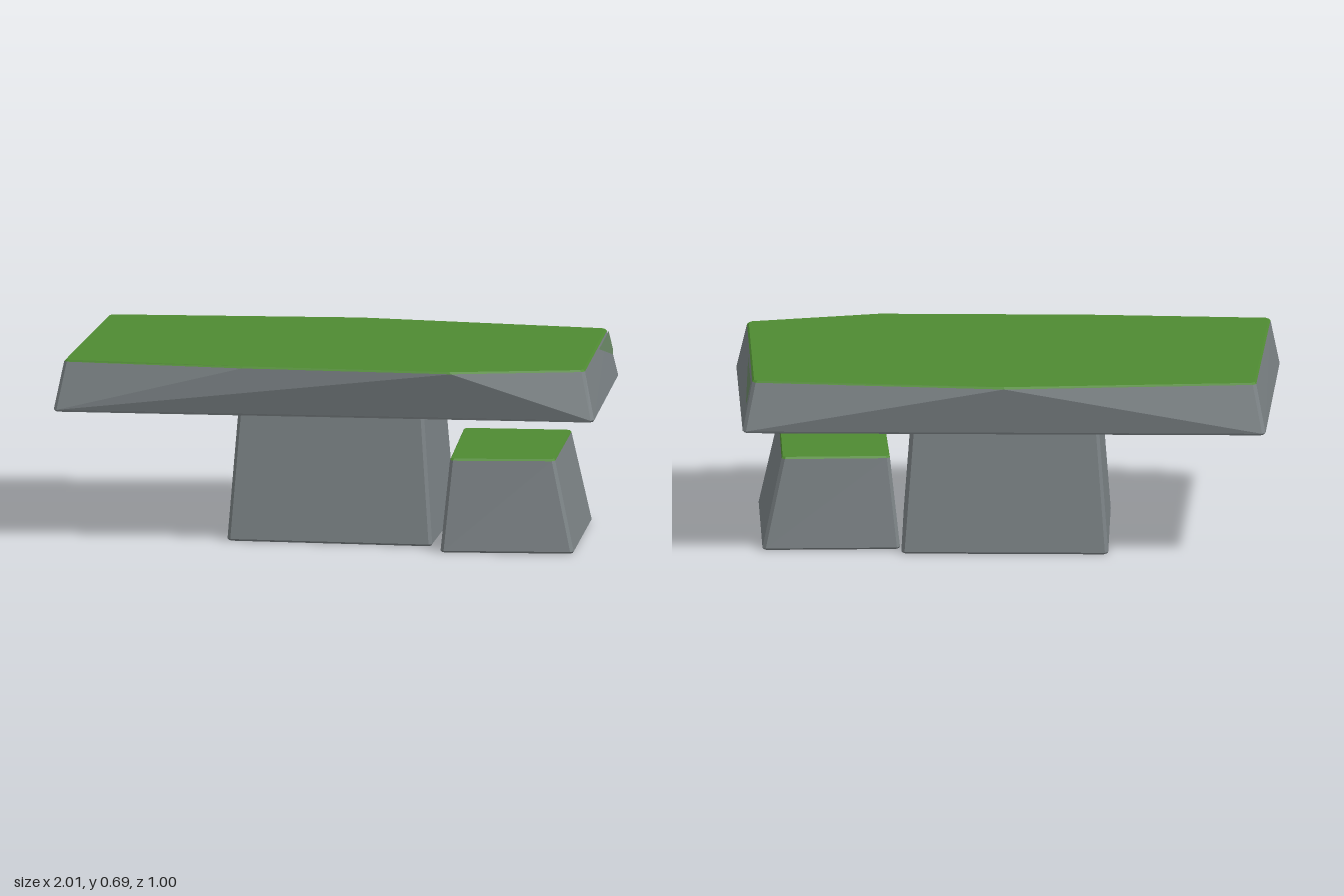
import * as THREE from 'three';

// Cut the listed corners of a polygon into two points each
function chamfer(pts, corners, r = 0.012) {
  return pts.flatMap((p, i) => {
    if (!corners.includes(i)) return [p];
    const n = pts.length;
    return [pts[(i + n - 1) % n], pts[(i + 1) % n]].map((q) => {
      const t = r / Math.hypot(q[0] - p[0], q[1] - p[1]);
      return [p[0] + (q[0] - p[0]) * t, p[1] + (q[1] - p[1]) * t];
    });
  });
}

const centreOf = (ring) => [0, 1].map((k) => ring.reduce((s, p) => s + p[k], 0) / ring.length);

function inset(ring, d) {
  const c = centreOf(ring);
  return ring.map((p) => {
    const t = 1 - d / Math.hypot(p[0] - c[0], p[1] - c[1]);
    return [c[0] + (p[0] - c[0]) * t, c[1] + (p[1] - c[1]) * t];
  });
}

// Tapered block with softened rims; stone sides, grassy cap.
// Rings run back-left, back-right, front-right, front-left as seen from above.
function taperedBlock(bottom, top, y0, y1, bevel, materials) {
  const rings = [
    [inset(bottom, bevel), y0],
    [bottom, y0 + bevel],
    [top, y1 - bevel],
    [inset(top, bevel), y1],
  ];
  const pos = [];
  const n = top.length;
  const put = (p, y) => pos.push(p[0], y, p[1]);
  const cap = ([ring, y], up) => {
    const c = centreOf(ring);
    for (let i = 0; i < n; i++) {
      const j = (i + 1) % n;
      put(c, y);
      put(ring[up ? j : i], y);
      put(ring[up ? i : j], y);
    }
  };
  cap(rings[0], false);
  let stoneCount = 0;
  for (let k = 0; k < 3; k++) {
    if (k === 2) stoneCount = pos.length / 3;
    const [b, yb] = rings[k], [t, yt] = rings[k + 1];
    for (let i = 0; i < n; i++) {
      const j = (i + 1) % n;
      put(b[i], yb); put(t[i], yt); put(b[j], yb);
      put(b[j], yb); put(t[i], yt); put(t[j], yt);
    }
  }
  cap(rings[3], true);
  const g = new THREE.BufferGeometry();
  g.setAttribute('position', new THREE.Float32BufferAttribute(pos, 3));
  g.addGroup(0, stoneCount, 0);
  g.addGroup(stoneCount, pos.length / 3 - stoneCount, 1);
  g.computeVertexNormals();
  return new THREE.Mesh(g, materials);
}

export function createModel() {
  const group = new THREE.Group();
  const material = (name, color) => {
    const m = new THREE.MeshStandardMaterial({ color });
    m.name = name;
    return m;
  };
  const stone = material('stone grey', 0x7b8285);
  const grass = material('grass green', 0x4f8a32);
  const moss = material('moss grey green', 0x678463);
  const mats = [stone, grass];
  const add = (mesh, name) => {
    mesh.name = name;
    group.add(mesh);
  };
  const all = [0, 1, 2, 3];
  const rect = (x, z) => chamfer([[-x, -z], [x, -z], [x, z], [-x, z]], all);

  // Overhanging slab: four corners below, seven above
  const slabBase = chamfer([[-0.965, -0.47], [0.965, -0.47], [1.003, 0.42], [-1.003, 0.5]], all);
  const slabTop = chamfer(
    [[-0.93, -0.425], [0, -0.503], [0.93, -0.425], [0.963, 0.38], [0.48, 0.495], [-0.3, 0.495], [-0.97, 0.46]],
    [0, 2, 3, 6]);
  const slabBottom = [0, 1, 1, 2, 3, 4, 5, 5, 6, 6, 7].map((i) => slabBase[i]);
  add(taperedBlock(slabBottom, slabTop, 0.505, 0.694, 0.007, mats), 'slab');

  // Central pillar
  add(taperedBlock(rect(0.382, 0.31), rect(0.345, 0.272), 0, 0.51, 0.007, mats), 'pillar');

  // Low step beside the pillar, slightly turned
  const stepBottom = chamfer([[0.387, -0.25], [0.895, -0.272], [0.92, 0.375], [0.43, 0.42]], all);
  const stepTop = chamfer([[0.425, -0.215], [0.825, -0.235], [0.846, 0.34], [0.46, 0.385]], all);
  add(taperedBlock(stepBottom, stepTop, 0, 0.347, 0.007, mats), 'step');

  // Mossy patch on the slab's left end, lying just above its plane
  const corners = [[-0.07, 0.685], [-0.415, 0.685], [-0.43, 0.615], [-0.405, 0.6]];
  const points = corners.map(([z, y]) =>
    new THREE.Vector3(0.97 + 0.043 * (z + 0.46) - 0.203 * (y - 0.51), y, z));
  const patch = new THREE.BufferGeometry().setFromPoints(points);
  patch.setIndex([0, 2, 1, 0, 3, 2]);
  patch.computeVertexNormals();
  moss.side = THREE.DoubleSide;
  add(new THREE.Mesh(patch, moss), 'mossPatch');

  return group;
}
